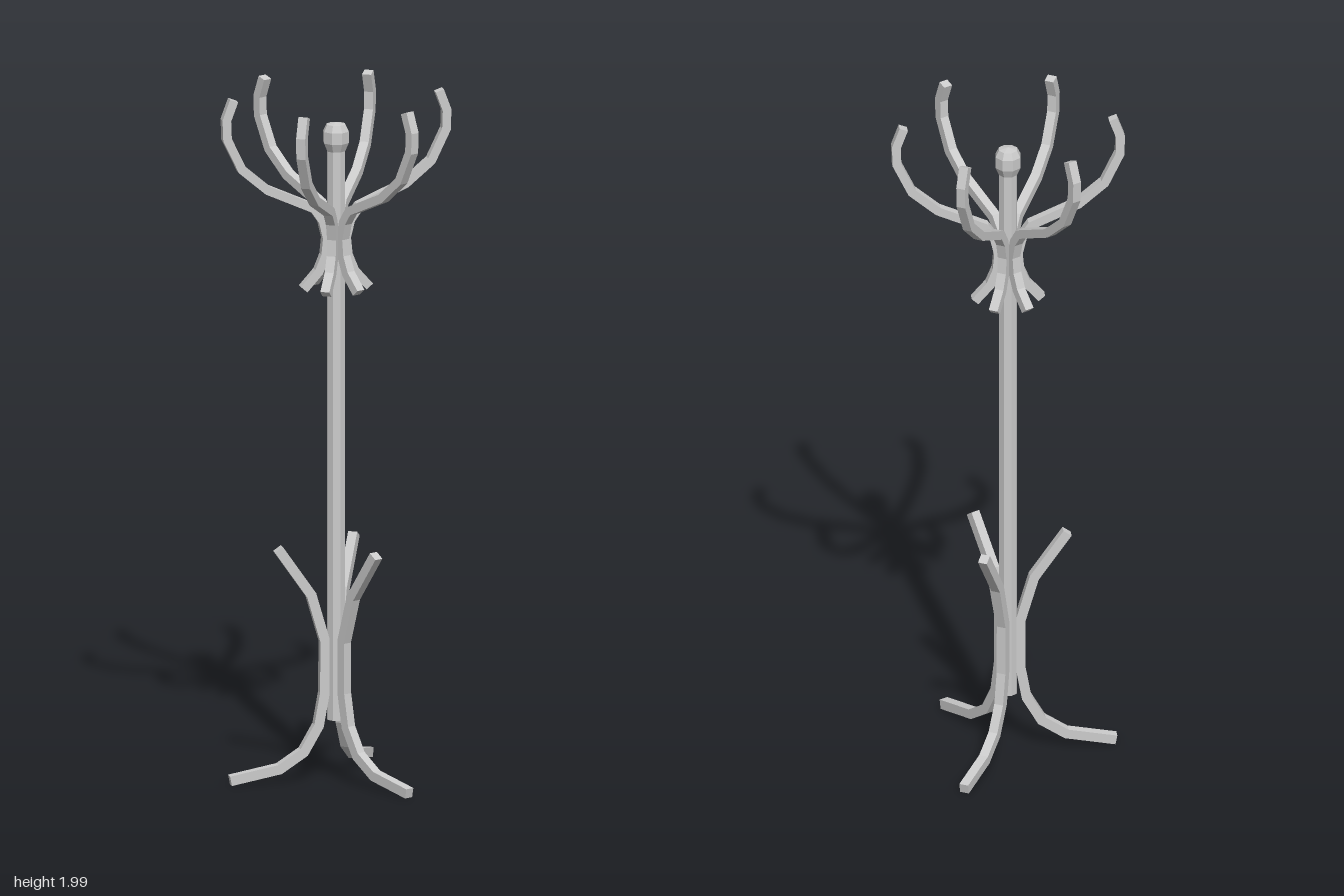
import * as THREE from 'three';

const material = new THREE.MeshStandardMaterial({ color: 0xcccccc, flatShading: true });

// Flat bar of square section that follows a polyline of [radius, height] points
function bentBar(points, thickness, width) {
  const pts = points.map(([r, y]) => new THREE.Vector2(r, y));
  const left = [], right = [];
  pts.forEach((p, i) => {
    const a = pts[Math.max(i - 1, 0)], b = pts[Math.min(i + 1, pts.length - 1)];
    const inDir = (i > 0 ? p.clone().sub(a) : b.clone().sub(p)).normalize();
    const outDir = (i < pts.length - 1 ? b.clone().sub(p) : inDir.clone()).normalize();
    const dir = inDir.clone().add(outDir).normalize();
    const miter = thickness / 2 / dir.dot(inDir);
    const normal = new THREE.Vector2(-dir.y, dir.x).multiplyScalar(miter);
    left.push(p.clone().add(normal));
    right.unshift(p.clone().sub(normal));
  });
  const geometry = new THREE.ExtrudeGeometry(new THREE.Shape([...left, ...right]), {
    depth: width, bevelEnabled: false,
  });
  return geometry.translate(0, 0, -width / 2);
}

// Copies of one bar spread evenly around the pole
function ring(group, name, geometry, count, startDegrees) {
  for (let i = 0; i < count; i++) {
    const mesh = new THREE.Mesh(geometry, material);
    mesh.name = `${name}${i + 1}`;
    mesh.rotation.y = THREE.MathUtils.degToRad(startDegrees + (i * 360) / count);
    group.add(mesh);
  }
}

export function createModel() {
  const group = new THREE.Group();
  group.name = 'coatStand';

  // Upright pole
  const pole = new THREE.Mesh(new THREE.CylinderGeometry(0.027, 0.027, 1.67, 8), material);
  pole.name = 'pole';
  pole.position.y = 0.18 + 1.67 / 2;
  group.add(pole);

  // Faceted knob on top
  const knobProfile = [[0, 1.825], [0.026, 1.828], [0.038, 1.855], [0.038, 1.888], [0.028, 1.908], [0, 1.914]];
  const knob = new THREE.Mesh(
    new THREE.LatheGeometry(knobProfile.map(([r, y]) => new THREE.Vector2(r, y)), 8), material);
  knob.name = 'knob';
  group.add(knob);

  // Six coat hooks, curling up at the top and flaring out below
  const hook = bentBar([
    [0.298, 1.992], [0.319, 1.935], [0.317, 1.88], [0.274, 1.79], [0.2, 1.727], [0.065, 1.667],
    [0.04, 1.63], [0.028, 1.58], [0.033, 1.53], [0.052, 1.483], [0.095, 1.434],
  ], 0.025, 0.027);
  ring(group, 'hook', hook, 6, 30);

  // Three curved legs, one pointing straight back
  const leg = bentBar([
    [0.307, 0.017], [0.165, 0.044], [0.095, 0.09], [0.052, 0.165],
    [0.035, 0.26], [0.034, 0.41], [0.073, 0.545], [0.168, 0.682],
  ], 0.028, 0.027);
  ring(group, 'leg', leg, 3, 90);

  group.children.forEach((part) => { part.position.x = -0.003; });
  return group;
}
